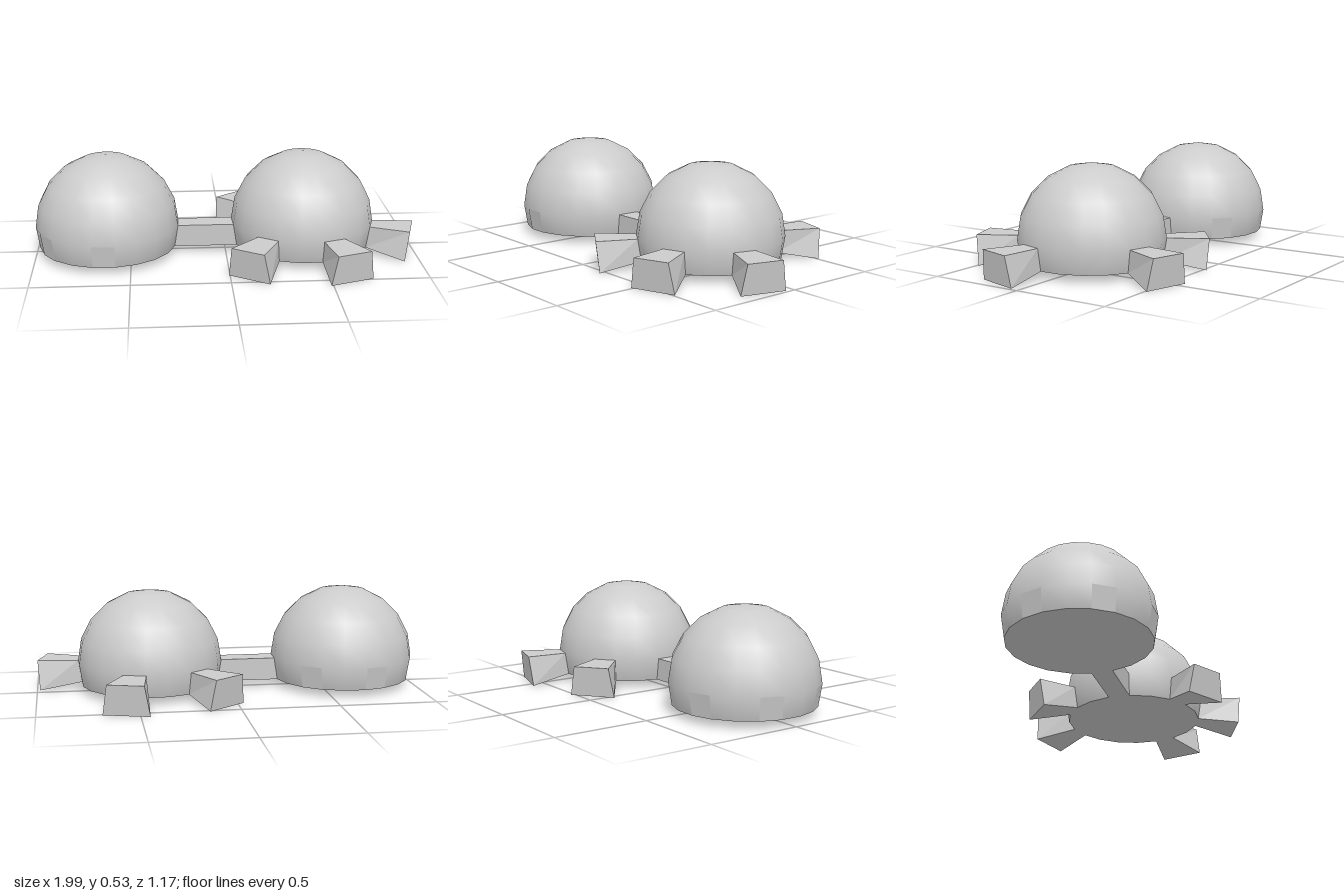
import * as THREE from 'three';

const SIDES = 20, R = 0.377, EQUATOR = 0.155, STEP = Math.PI / 10;
const FLOOR = EQUATOR - R * Math.sin(STEP);   // flat underside height
const LOW_R = R * Math.cos(STEP);             // radius at the underside
const rad = THREE.MathUtils.degToRad;
const material = new THREE.MeshStandardMaterial({ color: 0xcccccc });
const flat = new THREE.MeshStandardMaterial({ color: 0xcccccc, flatShading: true });

// Upright four-cornered section facing outwards at an azimuth:
// top left, top right, bottom right, bottom left
function section(cx, az, top, bottom) {
  const point = ({ r, y, w }, side) => new THREE.Vector3(
    cx + r * Math.cos(az) - side * Math.sin(az) * w / 2, y,
    r * Math.sin(az) + side * Math.cos(az) * w / 2);
  return [point(top, 1), point(top, -1), point(bottom, -1), point(bottom, 1)];
}

// One facet of the dome's lowest band
function facet(cx, az, lift = 0) {
  const apothem = Math.cos(STEP / 2), width = 2 * Math.sin(STEP / 2);
  return section(cx, az,
    { r: R * apothem + lift, y: EQUATOR, w: R * width },
    { r: LOW_R * apothem + lift, y: FLOOR, w: LOW_R * width });
}

function quadMesh(name, quads) {
  const points = quads.flatMap(([a, b, c, d]) => [a, b, c, a, c, d]);
  const geometry = new THREE.BufferGeometry().setFromPoints(points);
  geometry.computeVertexNormals();
  const mesh = new THREE.Mesh(geometry, flat);
  mesh.name = name;
  return mesh;
}

// Side walls between two matching sections
const walls = (a, b) => a.map((p, i) => [p, b[i], b[(i + 1) % 4], a[(i + 1) % 4]]);

function dome(name, cx, az) {
  const group = new THREE.Group();
  group.name = name;
  const shell = new THREE.Mesh(new THREE.SphereGeometry(
    R, SIDES, 6, Math.PI - az - STEP / 2, Math.PI * 2, 0, Math.PI * 0.6), material);
  shell.name = 'domeShell';
  shell.position.set(cx, EQUATOR, 0);
  const base = new THREE.Mesh(
    new THREE.CircleGeometry(LOW_R, SIDES, az + STEP / 2).rotateX(Math.PI / 2), material);
  base.name = 'domeUnderside';
  base.position.set(cx, FLOOR, 0);
  group.add(shell, base);
  return group;
}

export function createModel() {
  const model = new THREE.Group();
  model.name = 'twinDomes';
  const leftX = -0.623, rightX = 0.41;
  const leftAz = rad(1.8), rightAz = rad(178.2);   // facets joined by the bridge
  model.add(dome('plainDome', leftX, leftAz), dome('leggedDome', rightX, rightAz));

  // Connecting bridge
  const [tl, tr, br, bl] = facet(rightX, rightAz);
  model.add(quadMesh('bridge', walls(facet(leftX, leftAz), [tr, tl, bl, br])));

  for (let i = 1; i <= 5; i++) {
    // Flat panels around the plain dome
    const [a, b, c, d] = facet(leftX, leftAz + i * 3 * STEP + STEP * 2, 0.0015);
    model.add(quadMesh('panel' + i, [[a, d, c, b]]));

    // Flared legs around the other dome, leaving a gap opposite the bridge
    const az = rightAz + (i <= 3 ? -i : i - 3) * 3 * STEP;
    const inner = facet(rightX, az);
    const outer = section(rightX, az,
      { r: 0.583, y: EQUATOR, w: 0.187 }, { r: 0.565, y: 0, w: 0.237 });
    const cap = [outer[0], outer[3], outer[2], outer[1]];
    model.add(quadMesh('leg' + i, [...walls(inner, outer), cap]));
  }
  return model;
}
